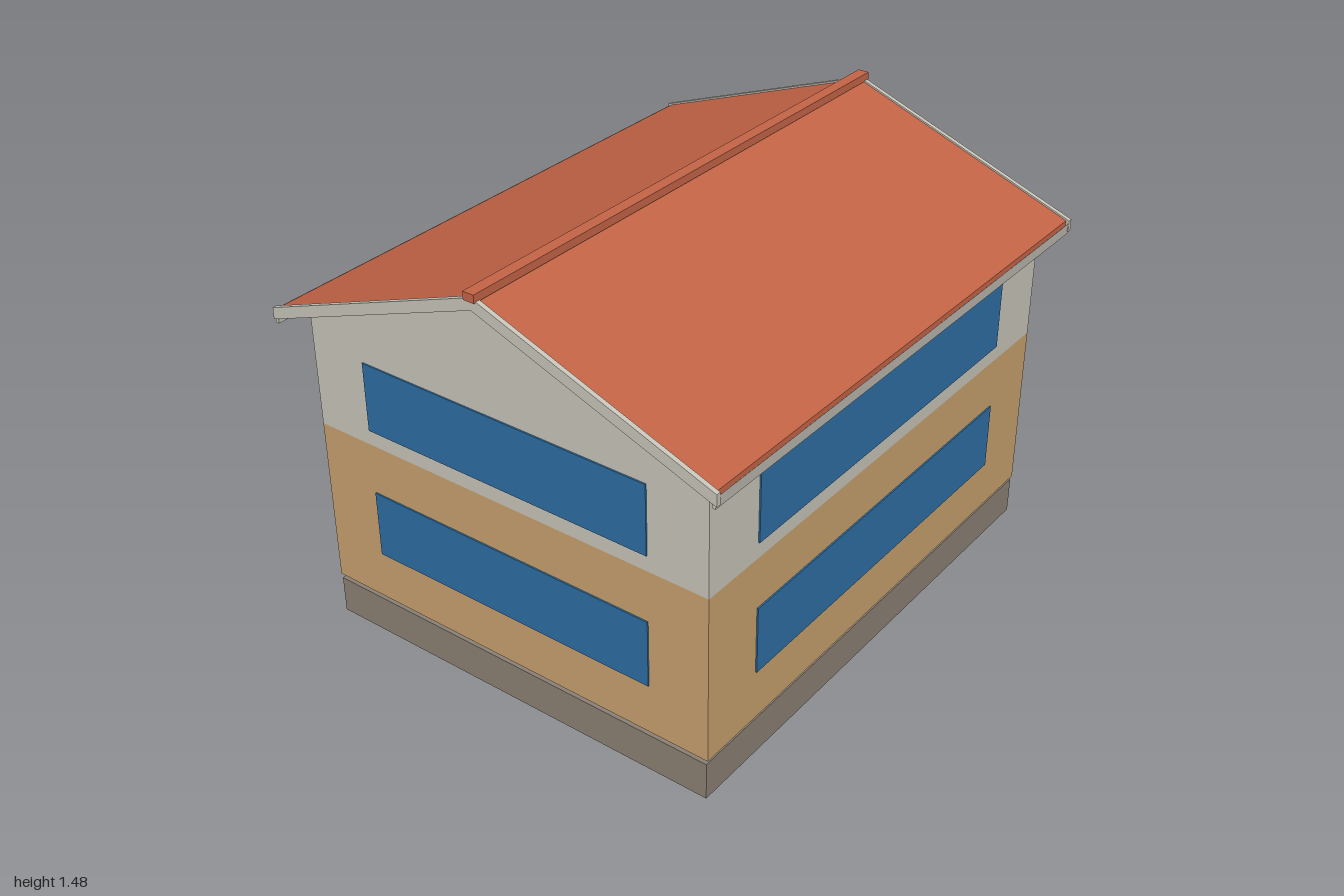
import * as THREE from 'three';

const material = (name, color) => {
  const m = new THREE.MeshStandardMaterial({ color });
  m.name = name;
  return m;
};

export function createModel() {
  const house = new THREE.Group();
  house.name = 'house';
  const cream = material('cream', 0xc9c5ba);
  const tan = material('tan', 0xc8a16e);
  const blue = material('window blue', 0x2d6fa4);
  const stone = material('stone', 0x8b8074);
  const red = material('roof red', 0xc46446);

  const add = (name, geometry, mat) => {
    const mesh = new THREE.Mesh(geometry, mat);
    mesh.name = name;
    house.add(mesh);
    return mesh;
  };
  // box spanning a height range, centred on x and z
  const slab = (name, mat, w, y0, y1, d, x = 0, z = 0) =>
    add(name, new THREE.BoxGeometry(w, y1 - y0, d), mat).position.set(x, (y0 + y1) / 2, z);
  // (z, y) outline swept along x from x0 to x1
  const sweep = (name, mat, points, x0, x1) => {
    const shape = new THREE.Shape(points.map(([z, y]) => new THREE.Vector2(-z, y)));
    const g = new THREE.ExtrudeGeometry(shape, { depth: x1 - x0, bevelEnabled: false });
    g.rotateY(Math.PI / 2).translate(x0, 0, 0);
    return add(name, g, mat);
  };
  // height of a roof plane that meets the ridge at the given height
  const slope = (ridge, z) => ridge - 0.367 * Math.abs(z);
  const gableBand = (top, bottom, z) => [
    [-z, slope(bottom, z)], [-z, slope(top, z)], [0, top],
    [z, slope(top, z)], [z, slope(bottom, z)], [0, bottom],
  ];

  // plinth, with a narrow shadow gap below the walls
  slab('plinth', stone, 1.834, 0, 0.132, 1.49);
  slab('lowerWalls', tan, 1.834, 0.147, 0.735, 1.5);
  sweep('upperWalls', cream, [
    [-0.75, 0.735], [-0.75, slope(1.425, 0.75)], [0, 1.425], [0.75, slope(1.425, 0.75)], [0.75, 0.735],
  ], -0.917, 0.917);

  // long window bands on both storeys and all four sides
  for (const [y0, y1] of [[0.323, 0.558], [0.79, 1.03]]) {
    for (const s of [-1, 1]) {
      slab('longWindow', blue, 1.366, y0, y1, 0.008, 0, s * 0.751);
      slab('gableWindow', blue, 0.008, y0, y1, 1.076, s * 0.918, 0);
    }
  }

  // roof covering and ridge cap
  sweep('roof', red, gableBand(1.454, 1.424, 0.817), -0.978, 0.978);
  slab('ridgeCap', red, 2, 1.45, 1.477, 0.04);

  // barge boards at the gables, fascia boards along the eaves
  for (const s of [-1, 1]) {
    sweep('bargeBoard', cream, gableBand(1.46, 1.42, 0.828), s * 0.985 - 0.008, s * 0.985 + 0.008);
    sweep('fascia', cream, [
      [s * 0.81, 1.127], [s * 0.828, 1.148], [s * 0.822, 1.105], [s * 0.812, 1.105],
    ], -0.99, 0.99);
  }
  return house;
}
